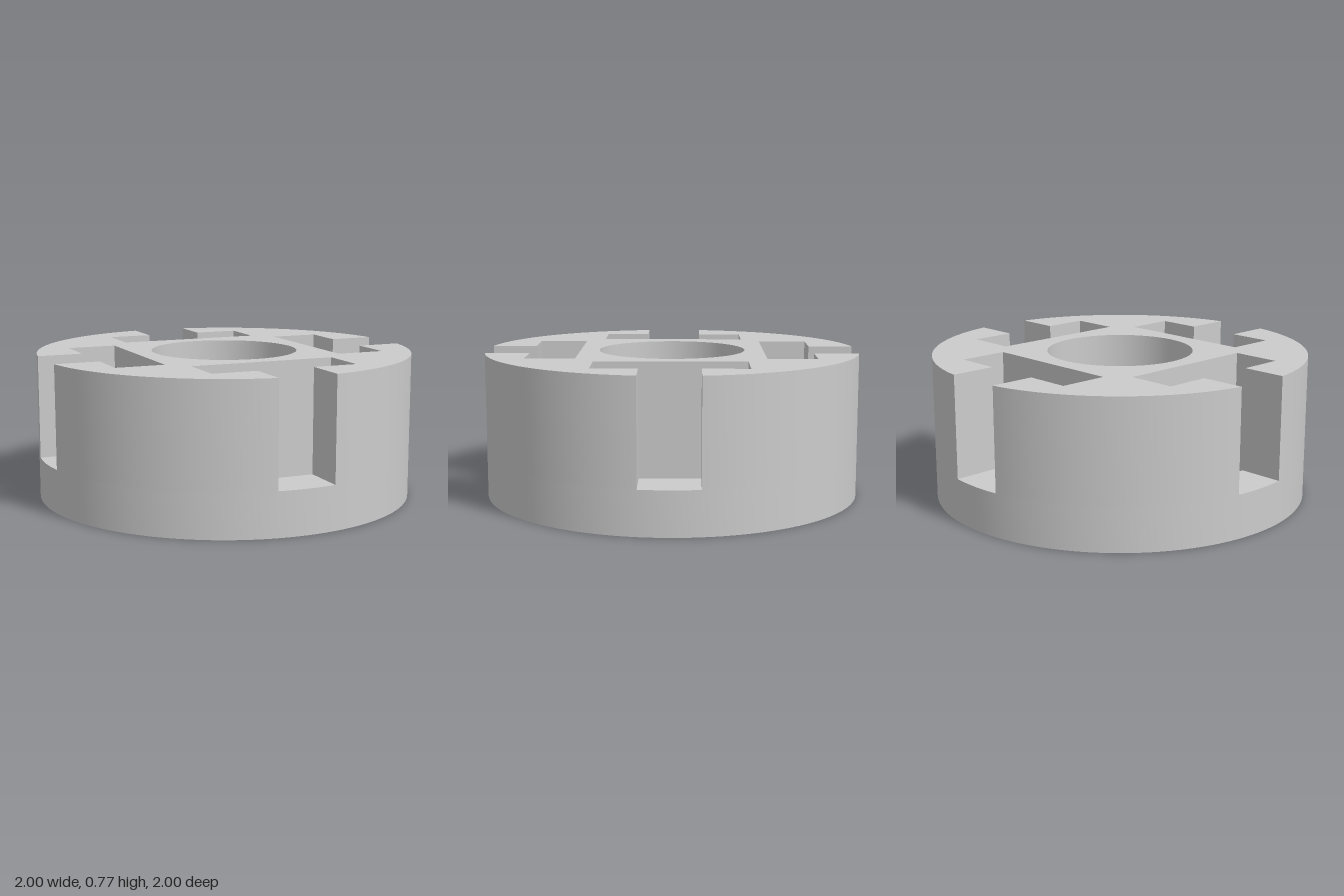
import * as THREE from 'three';
import { toCreasedNormals } from 'three/addons/utils/BufferGeometryUtils.js';

const R = 1, BORE = 0.39;                        // outer and bore radius
const BASE_H = 0.23, TOTAL_H = 0.77;             // slot floor and overall height
const IN = 0.49, OUT = 0.75, HALF = 0.39;        // rectangular pocket
const SLOT = 0.153;                              // half width of the rim slot
const EDGE = Math.asin(SLOT / R);                // angle where the slot meets the rim

const material = new THREE.MeshStandardMaterial({ color: 0xcccccc });

function arc(from, to, steps, radius = R) {
  return Array.from({ length: steps + 1 }, (_, i) => {
    const a = from + ((to - from) * i) / steps;
    return new THREE.Vector2(radius * Math.cos(a), radius * Math.sin(a));
  });
}

const turn = (points, quarter) =>
  points.map((p) => p.clone().rotateAround(new THREE.Vector2(), (quarter * Math.PI) / 2));

const vectors = (list) => list.map(([x, y]) => new THREE.Vector2(x, y));

const pocket = vectors([[IN, -HALF], [OUT, -HALF], [OUT, HALF], [IN, HALF]]);
// rim slot opening into the pocket
const notch = vectors([
  [OUT, -SLOT], [OUT, -HALF], [IN, -HALF], [IN, HALF], [OUT, HALF], [OUT, SLOT],
]);
const slotArc = arc(-EDGE, EDGE, 6);
const rimArc = arc(EDGE, Math.PI / 2 - EDGE, 24);

// Outline of the disc, repeating one quarter four times
function outline(gap) {
  const points = [];
  for (let q = 0; q < 4; q++) points.push(...turn([...gap, ...rimArc], q));
  const shape = new THREE.Shape(points);
  shape.holes.push(new THREE.Path(arc(0, Math.PI * 2, 72, BORE).slice(0, -1).reverse()));
  return shape;
}

// Extrudes upwards, leaving out the cap at the given level where two layers join
function layer(shape, height, openLevel) {
  const source = new THREE.ExtrudeGeometry(shape, { depth: height, bevelEnabled: false });
  const p = source.attributes.position;
  const kept = [];
  for (let i = 0; i < p.count; i += 3) {
    const isCap = [0, 1, 2].every((k) => Math.abs(p.getZ(i + k) - openLevel) < 1e-6);
    if (!isCap) kept.push(...p.array.slice(i * 3, i * 3 + 9));
  }
  const geometry = new THREE.BufferGeometry();
  geometry.setAttribute('position', new THREE.Float32BufferAttribute(kept, 3));
  return toCreasedNormals(geometry.rotateX(-Math.PI / 2), 0.4);
}

export function createModel() {
  const group = new THREE.Group();
  group.name = 'slottedRing';
  const add = (name, geometry, y) => {
    const mesh = new THREE.Mesh(geometry, material);
    mesh.name = name;
    mesh.position.y = y;
    group.add(mesh);
    return mesh;
  };

  // Base: full disc with bore and four through pockets
  const baseShape = outline(slotArc.slice(0, -1));
  for (let q = 0; q < 4; q++) {
    baseShape.holes.push(new THREE.Path(turn(pocket, q).reverse()));
  }
  add('base', layer(baseShape, BASE_H, BASE_H), 0);

  // Upper ring: pockets open outwards through the rim slots
  const upperShape = outline([slotArc[0], ...notch]);
  add('upperRing', layer(upperShape, TOTAL_H - BASE_H, 0), BASE_H);

  // Floors of the rim slots
  const floor = new THREE.ShapeGeometry(
    new THREE.Shape([...slotArc, ...vectors([[OUT, SLOT], [OUT, -SLOT]])])
  ).rotateX(-Math.PI / 2);
  for (let q = 0; q < 4; q++) {
    add('slotFloor', floor, BASE_H).rotation.y = (q * Math.PI) / 2;
  }
  return group;
}
